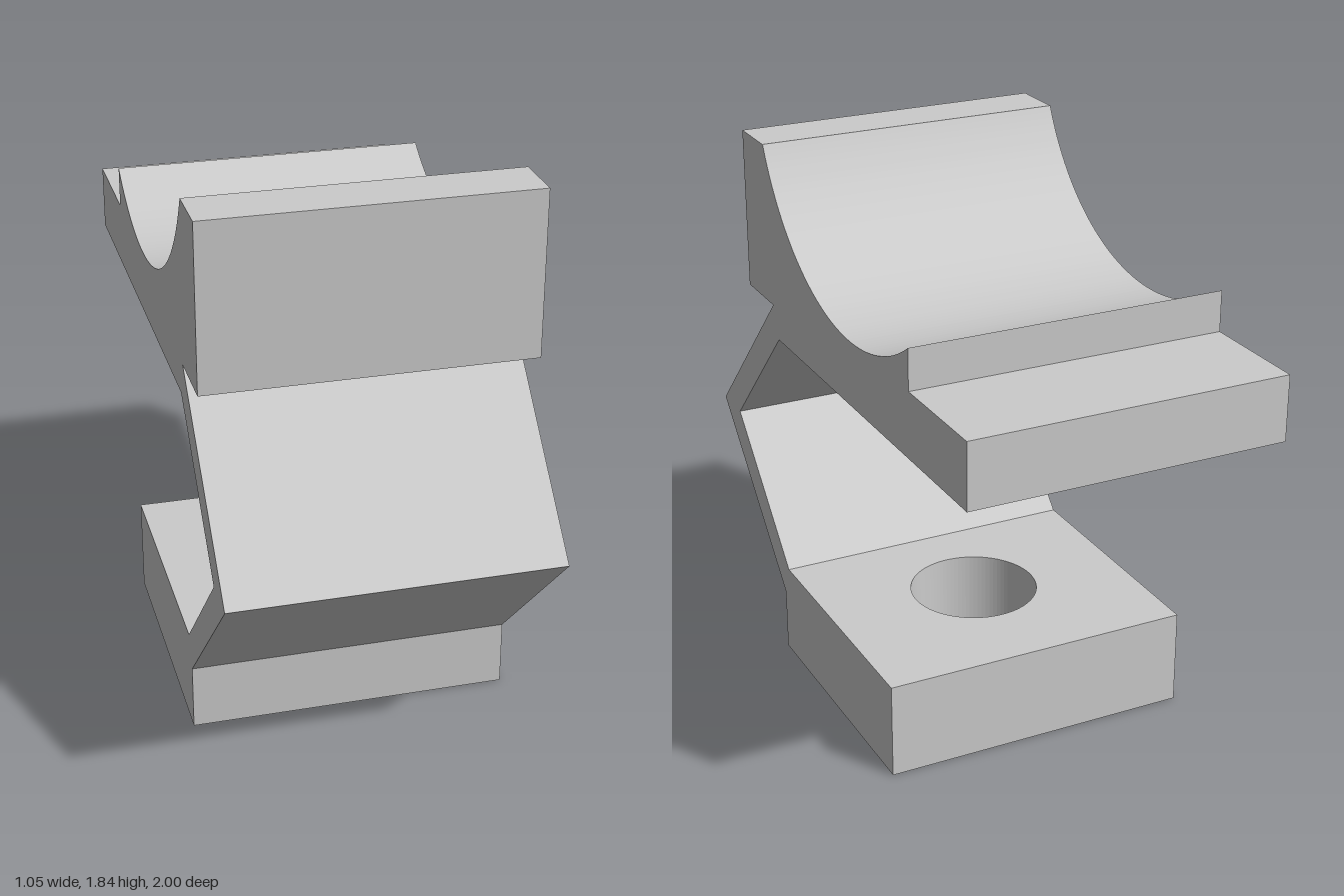
import * as THREE from 'three';

const WIDTH = 1.05;

export function createModel() {
  const group = new THREE.Group();
  const material = new THREE.MeshStandardMaterial({ color: 0xcccccc, flatShading: true });
  const add = (name, geometry) => {
    const mesh = new THREE.Mesh(geometry, material);
    mesh.name = name;
    group.add(mesh);
  };

  // Side profile (z, y): base lip, V-shaped spring arm and saddle with a round cradle
  const cz = -0.19, r = 0.755, cy = 1.405 + r;
  const profile = new THREE.Shape();
  profile.moveTo(0.42, 0);
  [[0.46, 0], [0.46, 0.22], [1, 0.76], [0.46, 1.3], [0.68, 1.3], [0.68, 1.84], [0.495, 1.84]]
    .forEach(([z, y]) => profile.lineTo(z, y));
  profile.absarc(cz, cy, r, Math.atan2(1.84 - cy, 0.495 - cz), Math.atan2(1.54 - cy, -0.62 - cz), true);
  [[-0.62, 1.405], [-1, 1.405], [-1, 1.19], [0.42, 1.19], [0.85, 0.76], [0.42, 0.325]]
    .forEach(([z, y]) => profile.lineTo(z, y));
  profile.closePath();
  const body = new THREE.ExtrudeGeometry(profile, { depth: WIDTH, bevelEnabled: false, curveSegments: 32 });
  body.translate(0, 0, -WIDTH / 2).rotateY(-Math.PI / 2);
  add('springArmAndSaddle', body);

  // Base block (x, -z) with a vertical bolt hole
  const h = WIDTH / 2;
  const plan = new THREE.Shape([[-h, -0.42], [h, -0.42], [h, 0.455], [-h, 0.455]]
    .map(([x, y]) => new THREE.Vector2(x, y)));
  plan.holes.push(new THREE.Path().absarc(0, -0.025, 0.216, 0, Math.PI * 2, true));
  const base = new THREE.ExtrudeGeometry(plan, { depth: 0.325, bevelEnabled: false, curveSegments: 48 });
  base.rotateX(-Math.PI / 2);
  add('baseBlock', base);

  return group;
}
